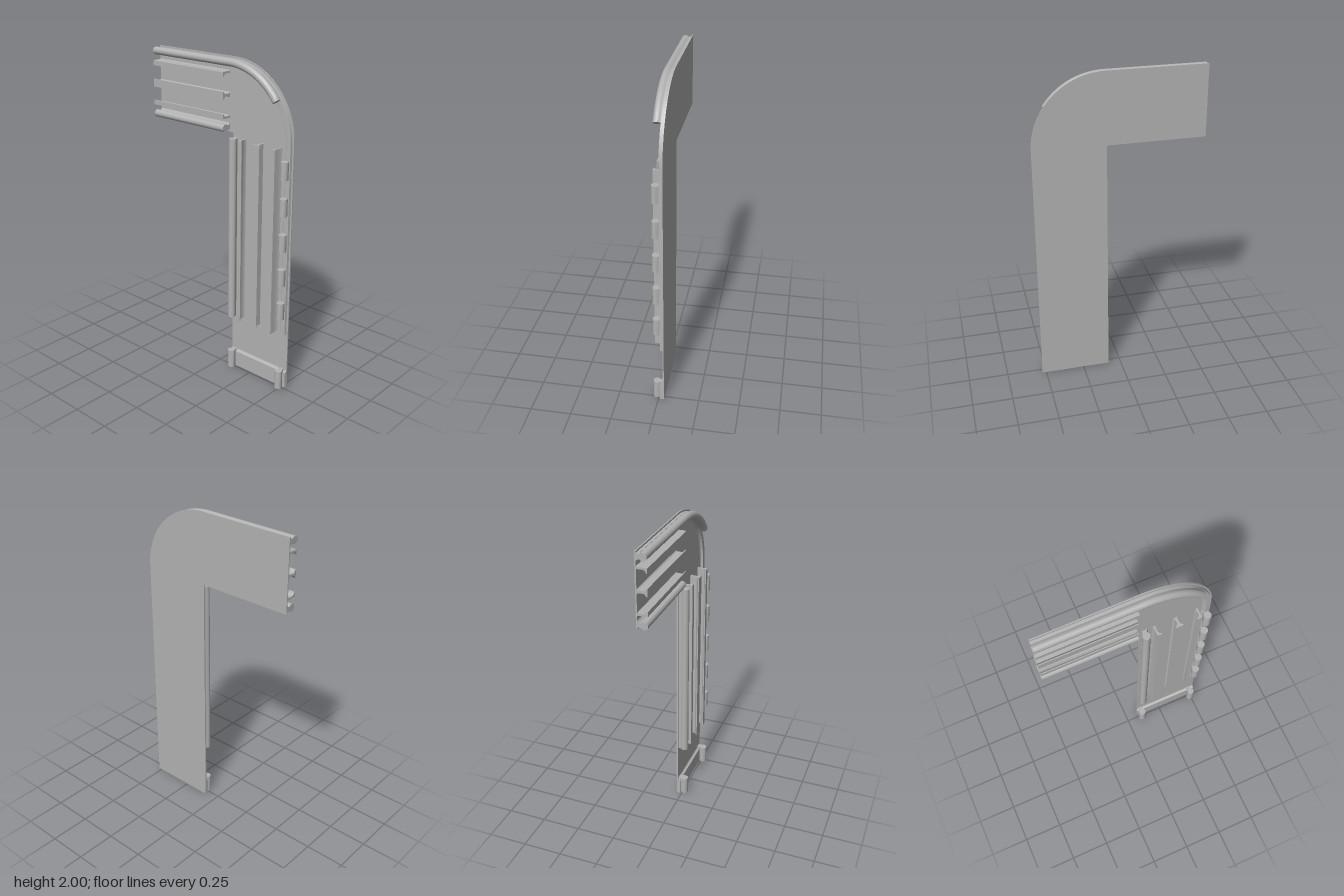
import * as THREE from 'three';
import { toCreasedNormals } from 'three/addons/utils/BufferGeometryUtils.js';

const FACE = 0.035; // x of the smooth outer face
const grey = new THREE.MeshStandardMaterial({ color: 0xb2b2b2 });
grey.name = 'plain grey';

// Sweep a counter-clockwise (u, h) profile along a [z, y] path:
// u runs inward from the path (to its side), h runs from the outer face towards -x.
function sweep(profile, path) {
  const pos = [], idx = [], n = profile.length;
  path.forEach((p, i) => {
    const a = path[Math.max(i - 1, 0)], b = path[Math.min(i + 1, path.length - 1)];
    const len = Math.hypot(b[0] - a[0], b[1] - a[1]);
    const tz = (b[0] - a[0]) / len, ty = (b[1] - a[1]) / len;
    for (const [u, h] of profile) pos.push(FACE - h, p[1] + tz * u, p[0] - ty * u);
  });
  for (let i = 0; i < path.length - 1; i++) {
    for (let j = 0; j < n; j++) {
      const k = (j + 1) % n, a = i * n + j, b = i * n + k;
      idx.push(a, b, b + n, a, b + n, a + n);
    }
  }
  const end = (path.length - 1) * n;
  const contour = profile.map(([u, h]) => new THREE.Vector2(u, h));
  for (const [a, b, c] of THREE.ShapeUtils.triangulateShape(contour, [])) {
    idx.push(a, c, b, end + a, end + b, end + c);
  }
  const g = new THREE.BufferGeometry();
  g.setAttribute('position', new THREE.Float32BufferAttribute(pos, 3));
  g.setIndex(idx);
  return toCreasedNormals(g, 0.6);
}

// Rounded bead on a flared neck
function beadProfile() {
  const pts = [[0.012, 0.006], [0.058, 0.006], [0.047, 0.011], [0.04, 0.019]];
  for (let i = 0; i <= 14; i++) {
    const t = -0.9 + (i / 14) * (Math.PI + 1.8);
    pts.push([0.027 + 0.0235 * Math.cos(t), 0.0465 + 0.0235 * Math.sin(t)]);
  }
  pts.push([0.014, 0.02]);
  return pts;
}
const BEAD = beadProfile();
// Low strip under the outer bead
const STRIP = [[0.01, 0.006], [0.06, 0.006], [0.047, 0.012], [0.041, 0.024], [0.012, 0.024]];
// Rib with its lip turned to the middle
const HOOK = [[0.08, 0.006], [0.1, 0.006], [0.096, 0.014], [0.096, 0.048], [0.102, 0.058],
  [0.114, 0.064], [0.114, 0.07], [0.086, 0.07], [0.084, 0.05], [0.084, 0.014]];
// Middle rib, flared both ways
const TEE = [[0.206, 0.006], [0.238, 0.006], [0.23, 0.014], [0.229, 0.05], [0.246, 0.064],
  [0.246, 0.07], [0.198, 0.07], [0.198, 0.064], [0.215, 0.05], [0.214, 0.014]];
// Thick foot band with a sloped top
const FOOT = [[0, 0.006], [0.122, 0.006], [0.111, 0.011], [0.104, 0.024], [0, 0.024]];

export function createModel() {
  const model = new THREE.Group();
  const add = (name, geometry) => {
    const m = new THREE.Mesh(geometry, grey);
    m.name = name;
    model.add(m);
  };

  // Thin L-shaped plate, drawn with -z as its horizontal axis
  const s = new THREE.Shape();
  s.moveTo(-0.525, 0);
  s.lineTo(-0.08, 0);
  s.lineTo(-0.08, 1.54);
  s.quadraticCurveTo(-0.08, 1.555, -0.065, 1.555);
  s.lineTo(0.525, 1.555);
  s.lineTo(0.525, 2);
  s.lineTo(-0.085, 2);
  s.absarc(-0.085, 1.56, 0.44, Math.PI / 2, Math.PI, false);
  s.closePath();
  const plate = new THREE.ExtrudeGeometry(s, { depth: 0.008, bevelEnabled: false, curveSegments: 32 });
  plate.rotateY(Math.PI / 2).translate(FACE - 0.008, 0, 0);
  add('plate', toCreasedNormals(plate, 0.5));

  // Outer edge: arc then straight run along the arm
  const outerRun = (start) => {
    const pts = [];
    for (let i = 0; i <= 24; i++) {
      const t = start + (Math.PI / 2 - start) * (i / 24);
      pts.push([0.085 + 0.44 * Math.cos(t), 1.56 + 0.44 * Math.sin(t)]);
    }
    pts.push([-0.525, 2]);
    return pts;
  };
  add('outerBead', sweep(BEAD, outerRun(0.61)));
  add('outerStrip', sweep(STRIP, [[0.525, 0.365], ...outerRun(0)]));

  // Straight edges, all run so that u points into the plate
  const postInner = [[0.08, 1.53], [0.08, 0.365]];
  const postOuter = [[0.525, 0.365], [0.525, 1.53]];
  const armLower = [[-0.525, 1.555], [0.05, 1.555]];
  const armUpper = [[0.05, 2], [-0.525, 2]];

  add('postInnerBead', sweep(BEAD, postInner));
  add('armLowerBead', sweep(BEAD, armLower));
  for (const [name, path] of Object.entries({ postInner, postOuter, armLower, armUpper })) {
    add(name + 'HookRib', sweep(HOOK, path));
  }
  add('postMiddleRib', sweep(TEE, postOuter));
  add('armMiddleRib', sweep(TEE, armLower));

  // Bead broken into short clips along the front edge
  const inset = BEAD.map(([u, h]) => [u + 0.006, h]);
  for (let i = 0; i < 5; i++) {
    const y = 0.48 + i * 0.22;
    add('frontClip', sweep(inset, [[0.525, y], [0.525, y + 0.107]]));
  }

  // Foot band with a bead stub at each corner
  add('footBand', sweep(FOOT, [[0.08, 0], [0.525, 0]]));
  add('frontFootClip', sweep(inset, [[0.525, 0.002], [0.525, 0.12]]));
  add('backFootClip', sweep(BEAD, [[0.08, 0.12], [0.08, 0.002]]));

  return model;
}
